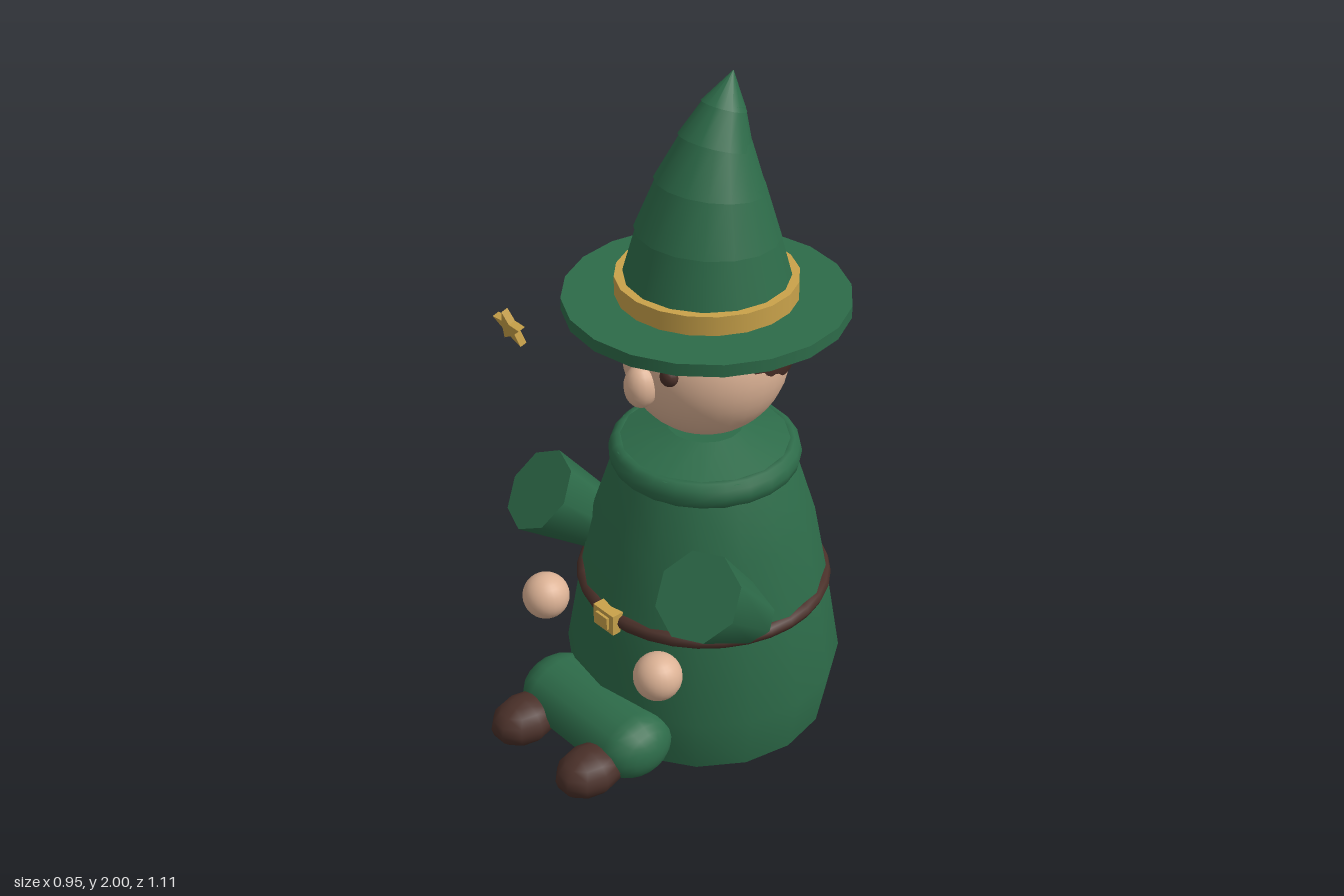
import * as THREE from 'three';

const mat = (name, color) => {
  const m = new THREE.MeshStandardMaterial({ color });
  m.name = name;
  return m;
};

export function createModel() {
  const root = new THREE.Group();
  root.name = 'wizardFigure';
  const green = mat('green cloth', 0x2d6b49);
  const skin = mat('skin', 0xdcb295);
  const brown = mat('dark brown', 0x4a3029);
  const gold = mat('gold', 0xc9a24a);
  const CZ = -0.14; // vertical axis of body, head and hat

  const add = (name, geo, material, x = 0, y = 0, z = 0) => {
    const mesh = new THREE.Mesh(geo, material);
    mesh.name = name;
    mesh.position.set(x, y, z);
    root.add(mesh);
    return mesh;
  };
  const ball = (name, material, x, y, z, rx, ry = rx, rz = rx, w = 24, h = 16) => {
    const mesh = add(name, new THREE.SphereGeometry(1, w, h), material, x, y, z);
    mesh.scale.set(rx, ry, rz);
    return mesh;
  };
  // tapered cylinder running from point a to point b
  const taper = (name, material, a, b, ra, rb, sides) => {
    const from = new THREE.Vector3(...a), dir = new THREE.Vector3(...b).sub(from);
    const mesh = add(name, new THREE.CylinderGeometry(rb, ra, dir.length(), sides), material);
    mesh.position.copy(from).addScaledVector(dir, 0.5);
    mesh.quaternion.setFromUnitVectors(new THREE.Vector3(0, 1, 0), dir.normalize());
    return mesh;
  };
  const lathe = (pts, sides) =>
    new THREE.LatheGeometry(pts.map(([r, y]) => new THREE.Vector2(r, y)), sides);

  // Robe
  add('robe', lathe([[0.38, 0], [0.412, 0.18], [0.365, 0.46], [0.322, 0.68], [0.27, 0.84], [0.24, 0.91]], 16), green, 0, 0, CZ);
  const base = add('robeBase', new THREE.CircleGeometry(0.38, 16), green, 0, 0, CZ);
  base.rotation.x = Math.PI / 2;
  base.rotation.z = Math.PI / 2;

  // Collar roll and sloping neck piece
  const collar = add('collar', new THREE.TorusGeometry(0.246, 0.032, 10, 24), green, 0, 0.875, CZ);
  collar.rotation.x = Math.PI / 2;
  collar.scale.z = 1.35;
  add('neckPiece', new THREE.CylinderGeometry(0.11, 0.262, 0.05, 16), green, 0, 0.935, CZ);

  // Belt and buckle
  const belt = add('belt', new THREE.TorusGeometry(0.354, 0.024, 8, 32), brown, 0, 0.452, CZ);
  belt.rotation.x = Math.PI / 2;
  add('buckle', new THREE.BoxGeometry(0.086, 0.066, 0.04), gold, 0, 0.452, 0.23);
  add('bucklePlate', new THREE.BoxGeometry(0.05, 0.04, 0.008), gold, 0, 0.452, 0.254);

  // Head, hair and face
  ball('head', skin, 0, 1.195, CZ, 0.235, 0.235, 0.235, 32, 20);
  ball('hair', brown, 0, 1.26, -0.17, 0.24, 0.24, 0.24, 24, 16);
  ball('nose', skin, 0, 1.175, 0.1, 0.048, 0.064, 0.048, 16, 12);

  for (const s of [1, -1]) {
    const side = s > 0 ? 'left' : 'right';
    ball(side + 'Eye', brown, s * 0.09, 1.235, 0.078, 0.028, 0.028, 0.024, 12, 10);
    ball(side + 'Curl', brown, s * 0.207, 1.305, -0.03, 0.042, 0.04, 0.034, 12, 10);
    // Wide sleeve, hand and shoe
    taper(side + 'Sleeve', green, [s * 0.29, 0.48, -0.05], [s * 0.345, 0.705, 0.2], 0.08, 0.13, 8);
    ball(side + 'Hand', skin, s * 0.25, 0.405, 0.262, 0.07);
    ball(side + 'Shoe', brown, s * 0.15, 0.093, 0.435, 0.084, 0.07, 0.11, 10, 8);
  }

  // Rounded roll of cloth over the legs
  const lap = add('lapRoll', new THREE.CapsuleGeometry(0.1, 0.33, 6, 16), green, 0, 0.12, 0.285);
  lap.rotation.z = Math.PI / 2;
  lap.scale.z = 1.22;

  // Hat: brim, band and crumpled cone of stacked sections leaning back
  add('hatBrim', new THREE.CylinderGeometry(0.4, 0.4, 0.036, 20), green, 0, 1.363, CZ);
  add('hatBand', new THREE.CylinderGeometry(0.254, 0.254, 0.056, 20), gold, 0, 1.412, CZ);
  const sections = [
    [1.4, -0.14, 1.575, -0.14, 0.242, 0.193],
    [1.565, -0.14, 1.715, -0.15, 0.2, 0.145],
    [1.7, -0.148, 1.83, -0.168, 0.153, 0.095],
    [1.815, -0.165, 1.92, -0.197, 0.103, 0.055],
    [1.908, -0.193, 2.0, -0.225, 0.063, 0],
  ];
  sections.forEach(([y0, z0, y1, z1, r0, r1], i) =>
    taper('hatSection' + (i + 1), green, [0, y0, z0], [0, y1, z1], r0, r1, 16));

  // Floating star
  const star = new THREE.Shape();
  for (let i = 0; i < 10; i++) {
    const r = i % 2 ? 0.025 : 0.056, a = Math.PI / 2 + (i * Math.PI) / 5;
    star[i ? 'lineTo' : 'moveTo'](r * Math.cos(a), r * Math.sin(a));
  }
  const starGeo = new THREE.ExtrudeGeometry(star, { depth: 0.02, bevelEnabled: false });
  starGeo.translate(0, 0, -0.01);
  add('star', starGeo, gold, 0, 1.52, 0.528).rotation.x = 0.3;

  return root;
}
